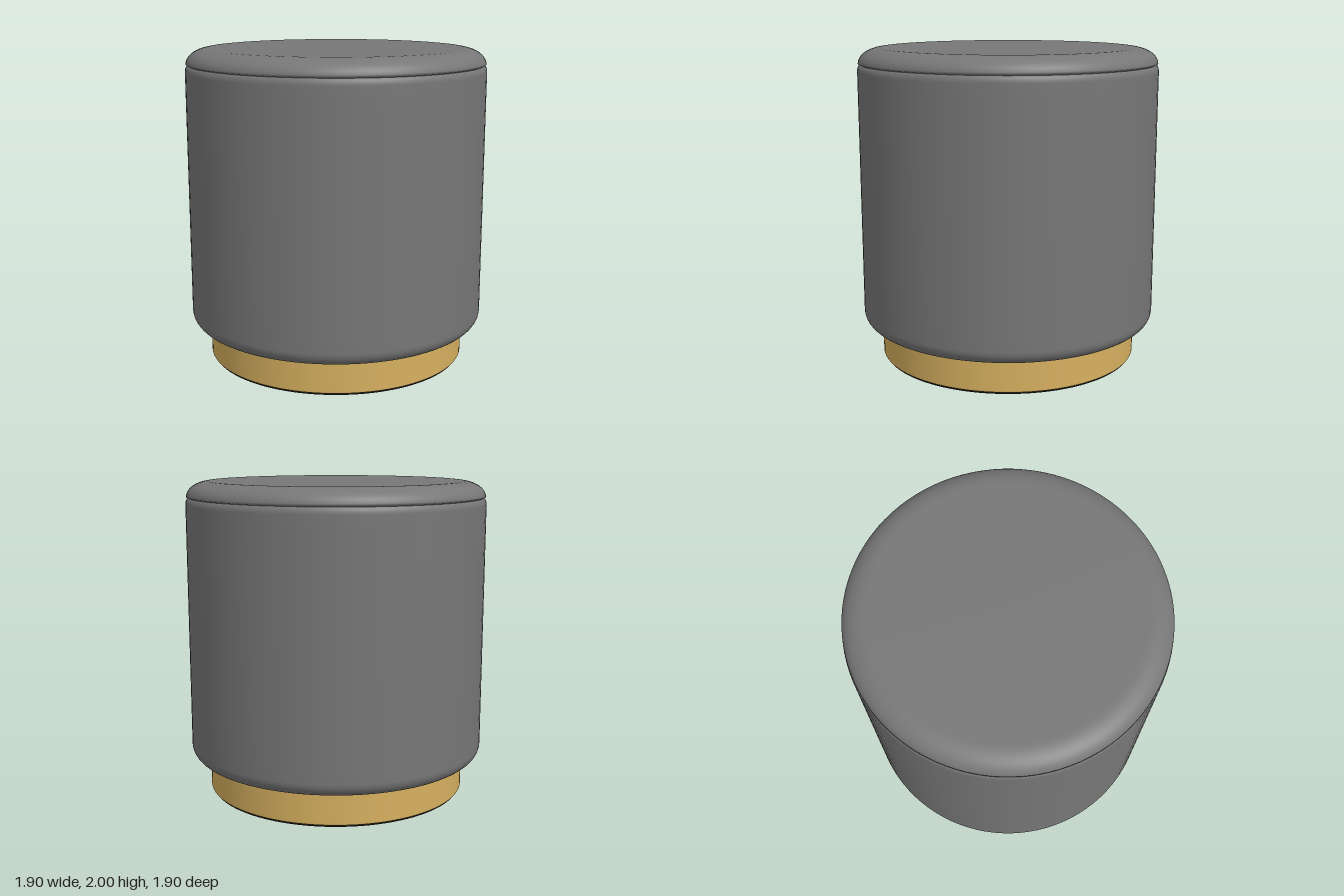
import * as THREE from 'three';

const SEGMENTS = 96;
const fabric = new THREE.MeshStandardMaterial({ color: 0x777777 });
const brass = new THREE.MeshStandardMaterial({ color: 0xd6b05f });
const rubber = new THREE.MeshStandardMaterial({ color: 0x141412 });

// Quarter-ellipse points around (cx, cy), from angle a to angle b in degrees
function arc(cx, cy, rx, ry, a, b, steps = 10) {
  return Array.from({ length: steps + 1 }, (_, i) => {
    const t = THREE.MathUtils.degToRad(a + ((b - a) * i) / steps);
    return new THREE.Vector2(cx + rx * Math.cos(t), cy + ry * Math.sin(t));
  });
}

function lathe(name, points, material) {
  const mesh = new THREE.Mesh(new THREE.LatheGeometry(points, SEGMENTS), material);
  mesh.name = name;
  return mesh;
}

export function createModel() {
  const group = new THREE.Group();
  group.name = 'pouf';
  const v = (x, y) => new THREE.Vector2(x, y);

  // Upholstered drum, rounded underneath and tucked in at the seam
  group.add(lathe('upholsteredBody', [
    v(0, 0.22), v(0.84, 0.22),
    ...arc(0.86, 0.31, 0.09, 0.09, -90, 0),
    v(0.95, 0.36), v(0.95, 1.8),
    ...arc(0.92, 1.855, 0.03, 0.047, 0, 90, 8),
  ], fabric));

  // Seat cushion with a soft rolled edge above the seam
  group.add(lathe('seatCushion', [
    v(0.925, 1.893),
    ...arc(0.795, 1.9, 0.15, 0.1, 2, 90, 14),
    v(0.77, 2), v(0, 2),
  ], fabric));

  // Metal plinth ring with slightly eased edges
  group.add(lathe('plinth', [
    v(0.81, 0.012),
    ...arc(0.82, 0.022, 0.01, 0.01, -90, 0, 4),
    v(0.83, 0.03), v(0.83, 0.225),
  ], brass));

  // Dark pad under the plinth
  const pad = new THREE.Mesh(new THREE.CylinderGeometry(0.815, 0.815, 0.014, SEGMENTS), rubber);
  pad.name = 'floorPad';
  pad.position.y = 0.007;
  group.add(pad);

  return group;
}
